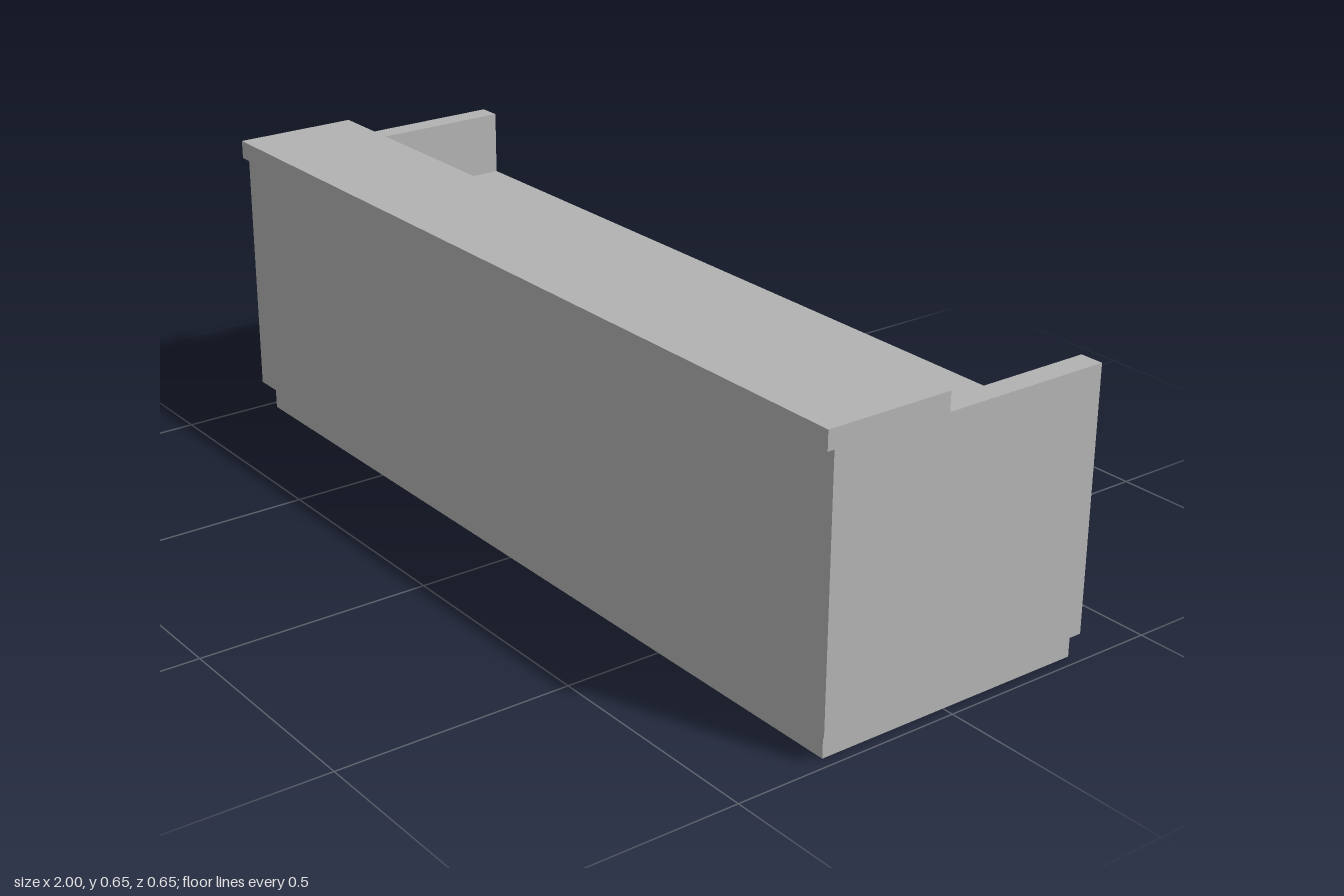
import * as THREE from 'three';

const BACK = -0.325;

// U-shaped wall, open at the back: plan outline extruded upwards
function uWall(outerX, innerX, frontZ, innerZ, y0, y1, material, name) {
  const plan = [
    [-outerX, BACK], [-outerX, frontZ], [outerX, frontZ], [outerX, BACK],
    [innerX, BACK], [innerX, innerZ], [-innerX, innerZ], [-innerX, BACK],
  ];
  const shape = new THREE.Shape(plan.map(([x, z]) => new THREE.Vector2(x, -z)));
  const geometry = new THREE.ExtrudeGeometry(shape, { depth: y1 - y0, bevelEnabled: false });
  geometry.rotateX(-Math.PI / 2).translate(0, y0, 0);
  const mesh = new THREE.Mesh(geometry, material);
  mesh.name = name;
  return mesh;
}

// Horizontal board given by its limits
function board(halfX, y0, y1, z0, z1, material, name) {
  const mesh = new THREE.Mesh(new THREE.BoxGeometry(2 * halfX, y1 - y0, z1 - z0), material);
  mesh.position.set(0, (y0 + y1) / 2, (z0 + z1) / 2);
  mesh.name = name;
  return mesh;
}

export function createModel() {
  const group = new THREE.Group();
  group.name = 'receptionDesk';
  const grey = new THREE.MeshStandardMaterial({ color: 0xb2b2b2 });
  grey.name = 'plain grey';

  group.add(
    // recessed base
    uWall(0.975, 0.95, 0.29, 0.19, 0, 0.06, grey, 'plinth'),
    // front and side panels
    uWall(1, 0.95, 0.31, 0.21, 0.06, 0.61, grey, 'frontAndSidePanels'),
    // work surface between the sides
    board(0.95, 0.44, 0.468, BACK, 0.21, grey, 'workSurface'),
    // raised counter overhanging the front
    board(1, 0.61, 0.65, 0.048, 0.325, grey, 'counterTop'),
  );
  return group;
}
